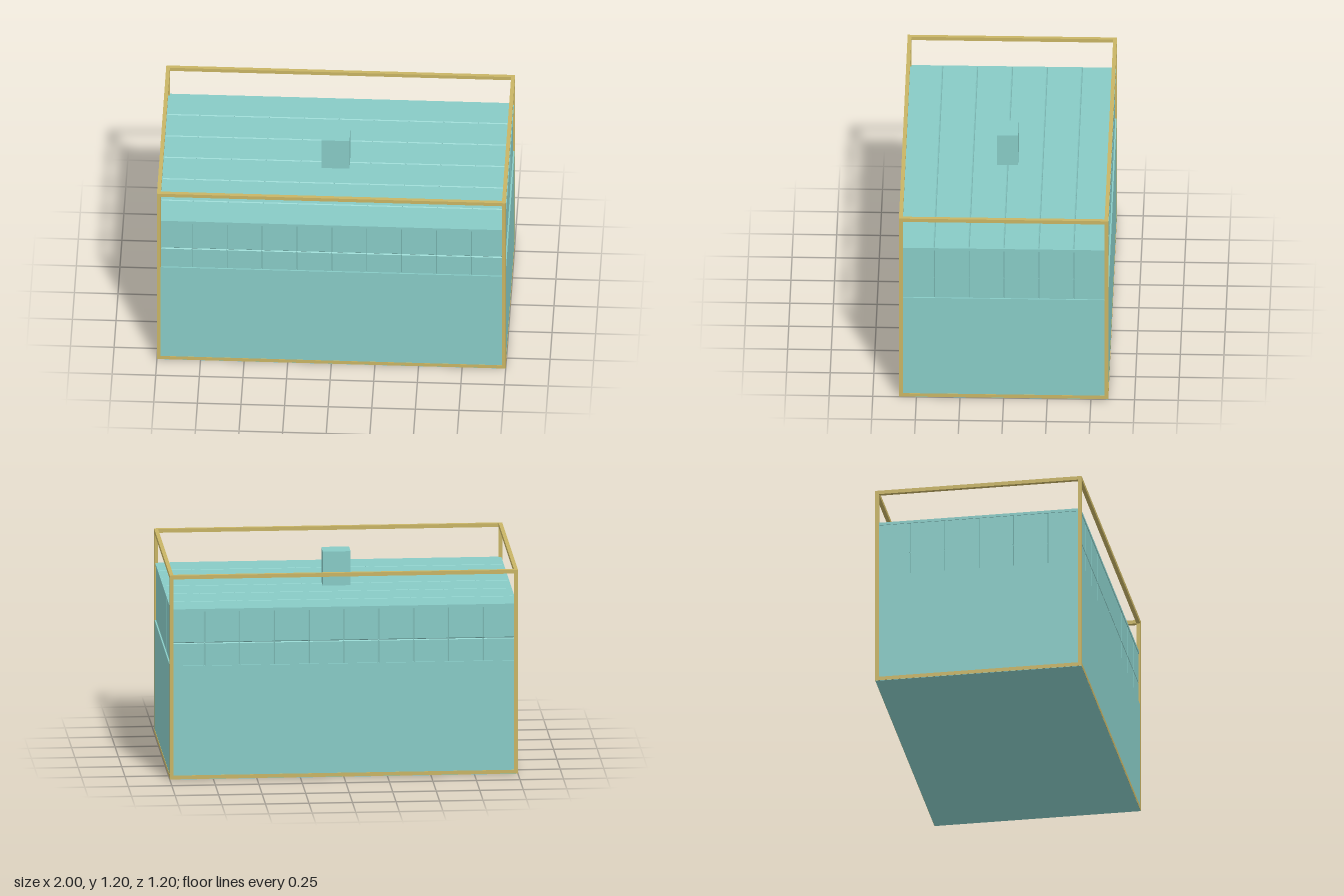
import * as THREE from 'three';

export function createModel() {
  const teal = new THREE.MeshStandardMaterial({ color: 0x87cac5 });
  teal.name = 'teal';
  const gold = new THREE.MeshStandardMaterial({ color: 0xc8b464 });
  gold.name = 'gold';

  const model = new THREE.Group();
  model.name = 'framedBlock';
  const group = (name) => {
    const g = new THREE.Group();
    g.name = name;
    model.add(g);
    return g;
  };
  const box = (parent, name, mat, w, h, d, x, y, z) => {
    const m = new THREE.Mesh(new THREE.BoxGeometry(w, h, d), mat);
    m.name = name;
    m.position.set(x, y, z);
    parent.add(m);
  };

  // Solid lower block, almost flush with the frame
  box(model, 'lowerBlock', teal, 1.997, 0.667, 1.197, 0, 0.3335, 0);

  // Chamfered cell: cut corners in the shape, bevel on both ends
  const chamferedCell = (w, h, d, c) => {
    const a = w / 2 - c, b = h / 2 - c;
    const s = new THREE.Shape();
    s.moveTo(-a, -b);
    s.lineTo(a, -b);
    s.lineTo(a, b);
    s.lineTo(-a, b);
    s.closePath();
    const g = new THREE.ExtrudeGeometry(s, {
      depth: d - 2 * c, bevelEnabled: true, bevelSegments: 1, bevelSize: c, bevelThickness: c,
    });
    return g.translate(0, 0, -d / 2 + c);
  };

  // Slightly recessed layers of cells above it, separated by fine grooves
  const cells = group('upperCells');
  const outer = 0.99;
  box(cells, 'cellCore', teal, 1.97, 0.335, 1.17, 0, 0.8275, 0);
  for (let k = 0; k < 2; k++) {
    for (let i = 0; i < 10; i++) {
      for (let j = 0; j < 6; j++) {
        if (k === 0 && i > 0 && i < 9 && j > 0 && j < 5) continue;
        // outer cells are trimmed so the sides sit back from the frame
        const x0 = Math.max(-outer, -1 + i * 0.2), x1 = Math.min(outer, -0.8 + i * 0.2);
        const z0 = Math.max(-0.59, -0.6 + j * 0.2), z1 = Math.min(0.59, -0.4 + j * 0.2);
        const m = new THREE.Mesh(chamferedCell(x1 - x0, 0.2, z1 - z0, 0.005), teal);
        m.name = 'cell';
        m.position.set((x0 + x1) / 2, 0.7 + k * 0.2, (z0 + z1) / 2);
        cells.add(m);
      }
    }
  }

  // Narrow lip around the top edge
  const lip = group('topLip');
  for (const s of [-1, 1]) {
    box(lip, 'lipLong', teal, 1.988, 0.016, 0.01, 0, 0.992, s * 0.589);
    box(lip, 'lipShort', teal, 0.01, 0.016, 1.188, s * 0.989, 0.992, 0);
  }

  // Small block standing in the middle
  box(model, 'centreBlock', teal, 0.16, 0.2, 0.12, 0, 1.1, 0);

  // Frame along the twelve edges
  const frame = group('edgeFrame');
  const t = 0.022;
  for (const s of [-1, 1]) {
    for (const r of [-1, 1]) {
      box(frame, 'cornerPost', gold, t, 1.198, t, s * (1 - t / 2), 0.601, r * (0.6 - t / 2));
    }
    for (const y of [0.002 + t / 2, 1.2 - t / 2]) {
      box(frame, 'longRail', gold, 2 - 2 * t, t, t, 0, y, s * (0.6 - t / 2));
      box(frame, 'shortRail', gold, t, t, 1.2 - 2 * t, s * (1 - t / 2), y, 0);
    }
  }
  return model;
}
